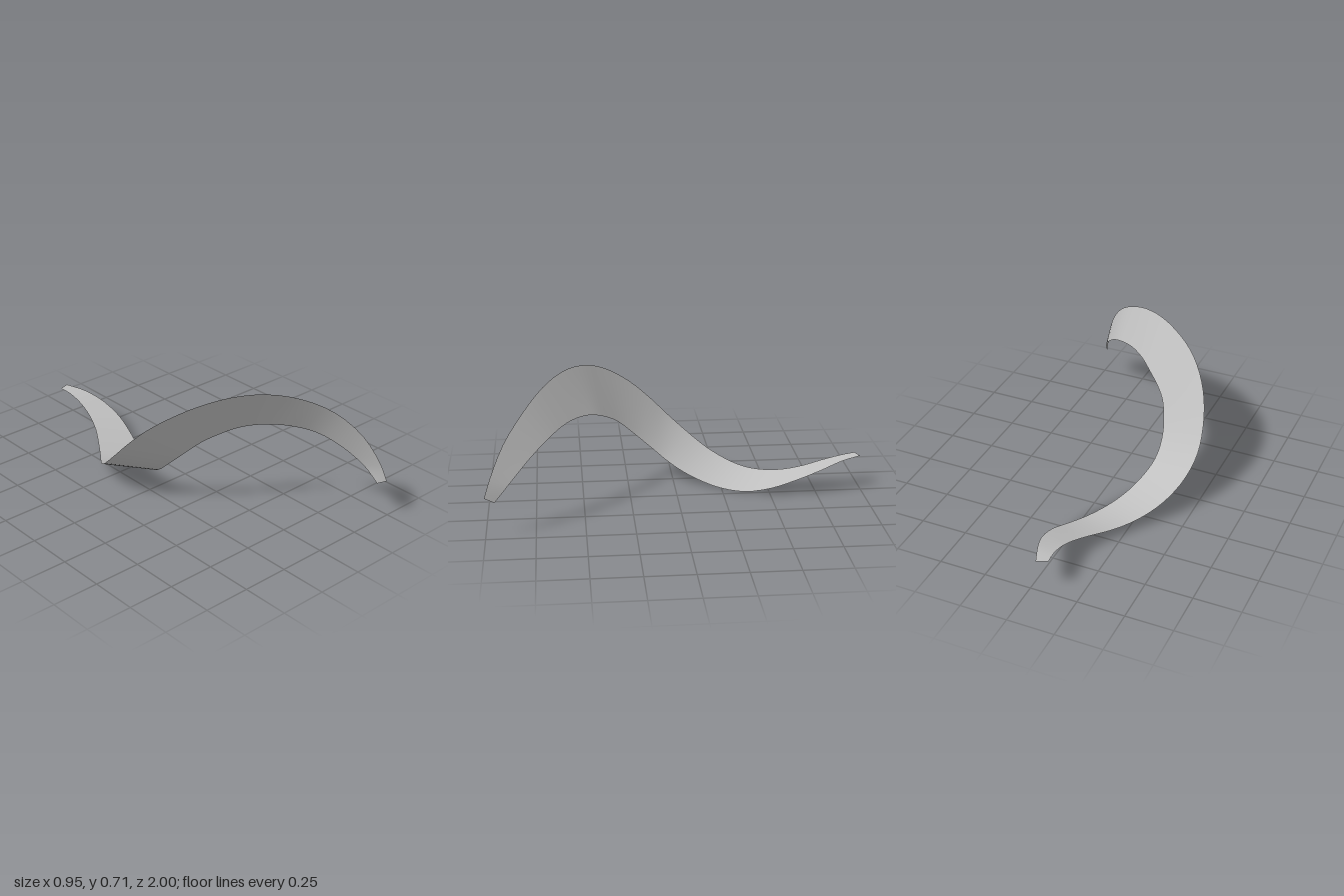
import * as THREE from 'three';

// Paired stations along the two long edges of the ribbon, front tip to back tip
const outerEdge = [
  [0.475, 0.21, 1], [0.456, 0.3, 0.97], [0.39, 0.455, 0.9], [0.285, 0.585, 0.8], [0.145, 0.67, 0.7],
  [0, 0.708, 0.6], [-0.14, 0.7, 0.5], [-0.27, 0.655, 0.4], [-0.365, 0.585, 0.3], [-0.43, 0.5, 0.2],
  [-0.467, 0.4, 0.1], [-0.478, 0.295, 0], [-0.455, 0.205, -0.1], [-0.405, 0.13, -0.2], [-0.34, 0.08, -0.3],
  [-0.267, 0.055, -0.4], [-0.2, 0.058, -0.5], [-0.14, 0.08, -0.6], [-0.102, 0.112, -0.7],
  [-0.085, 0.147, -0.8], [-0.083, 0.172, -0.9], [-0.092, 0.182, -0.98],
];
const innerEdge = [
  [0.462, 0.18, 0.95], [0.437, 0.26, 0.88], [0.365, 0.36, 0.78], [0.272, 0.437, 0.68], [0.147, 0.479, 0.58],
  [0.045, 0.481, 0.49], [-0.027, 0.459, 0.42], [-0.107, 0.415, 0.35], [-0.155, 0.375, 0.3], [-0.19, 0.315, 0.24],
  [-0.213, 0.25, 0.175], [-0.22, 0.18, 0.1], [-0.208, 0.128, 0.04], [-0.172, 0.07, -0.05], [-0.125, 0.028, -0.15],
  [-0.072, 0.005, -0.25], [-0.013, 0.004, -0.37], [0.033, 0.035, -0.5], [0.057, 0.085, -0.63],
  [0.048, 0.135, -0.77], [0.01, 0.17, -0.89], [-0.035, 0.181, -1],
];

const smoothCurve = (points) =>
  new THREE.CatmullRomCurve3(points.map((p) => new THREE.Vector3(...p)), false, 'centripetal');

// Ruled surface between two curves
function ruledSurface(a, b, along, across) {
  const geometry = new THREE.PlaneGeometry(1, 1, across, along);
  const position = geometry.attributes.position;
  const point = new THREE.Vector3();
  for (let i = 0; i <= along; i++) {
    const start = a.getPoint(i / along);
    const end = b.getPoint(i / along);
    for (let j = 0; j <= across; j++) {
      point.lerpVectors(start, end, j / across);
      position.setXYZ(i * (across + 1) + j, point.x, point.y, point.z);
    }
  }
  geometry.computeVertexNormals();
  return geometry;
}

export function createModel() {
  const grey = new THREE.MeshStandardMaterial({ color: 0xc0c0c0, side: THREE.DoubleSide });
  grey.name = 'light grey';

  const ribbon = new THREE.Mesh(ruledSurface(smoothCurve(outerEdge), smoothCurve(innerEdge), 63, 6), grey);
  ribbon.name = 'spiralRibbon';

  const model = new THREE.Group();
  model.name = 'twistedRibbon';
  model.add(ribbon);
  return model;
}
